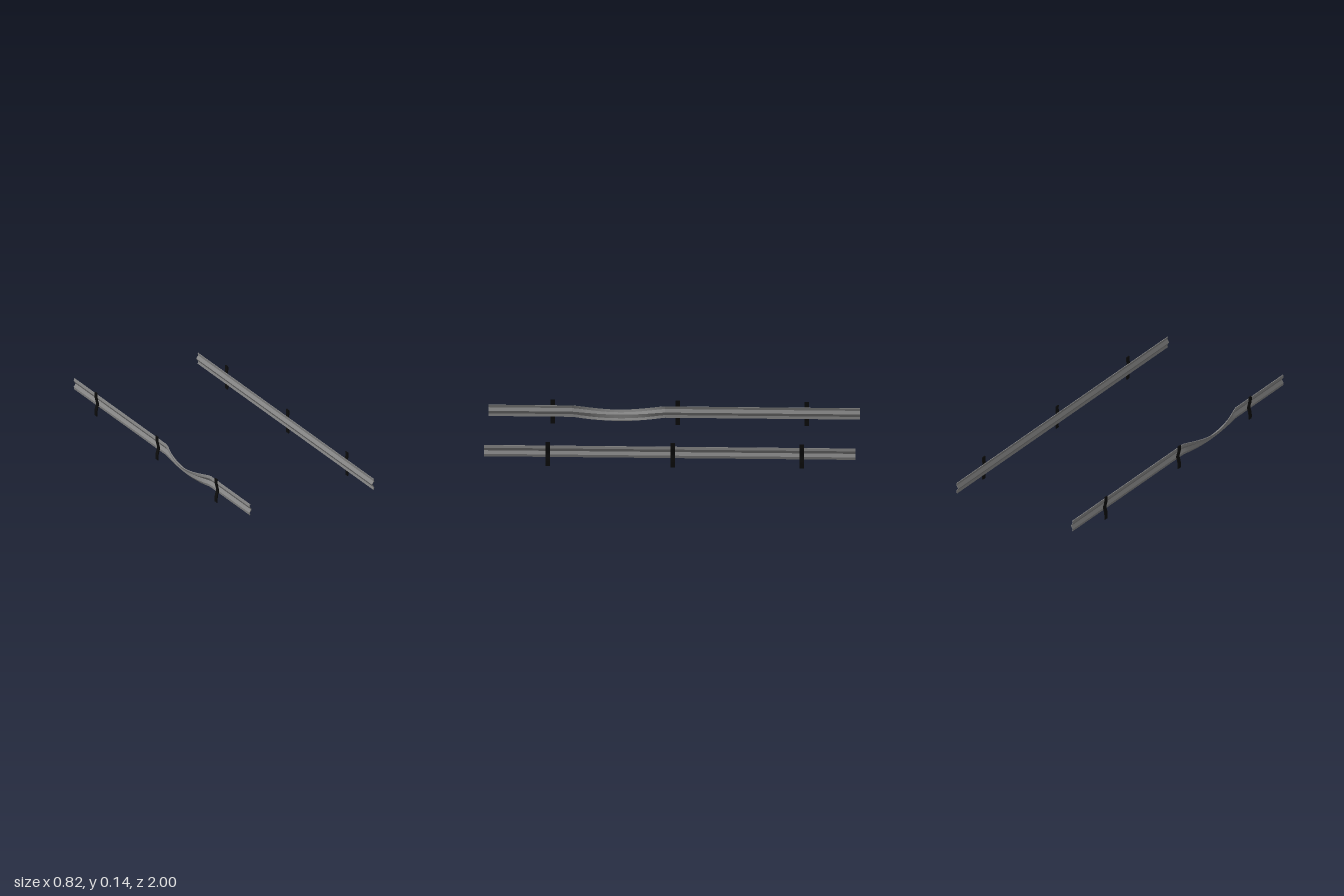
import * as THREE from 'three';

const steel = new THREE.MeshStandardMaterial({ color: 0x848484, flatShading: true });
const black = new THREE.MeshStandardMaterial({ color: 0x0c0c0c });

const v = (x, y) => new THREE.Vector2(x, y);

// Closed strip of a given thickness that follows a line of points (x outward, y up)
function stripShape(line, thickness) {
  const shift = (d) => line.map((p) => v(p.x + d, p.y));
  return new THREE.Shape([...shift(thickness / 2), ...shift(-thickness / 2).reverse()]);
}

// Beam section: one ridge facing the road between two outer folds
const beamY = 0.077, beamX = 0.374;
const beamLine = [
  v(0.377, 0.0455), v(0.3795, 0.06), v(0.3685, 0.077), v(0.3795, 0.094), v(0.377, 0.1085),
];

function railGeometry(dented) {
  const geo = new THREE.ExtrudeGeometry(stripShape(beamLine, 0.004), {
    depth: 2, steps: dented ? 80 : 1, bevelEnabled: false,
  });
  geo.translate(0, 0, -1);
  if (!dented) return geo;
  // Dent: the section is pushed outward, sinks and rolls back along a sine arch
  const pos = geo.attributes.position;
  const z0 = 0.055, z1 = 0.545;
  for (let i = 0; i < pos.count; i++) {
    const t = (pos.getZ(i) - z0) / (z1 - z0);
    if (t <= 0 || t >= 1) continue;
    const k = Math.sin(Math.PI * t);
    const p = v(pos.getX(i), pos.getY(i)).rotateAround(v(beamX, beamY), -0.61 * k);
    pos.setXY(i, p.x + 0.021 * k, p.y - 0.025 * k);
  }
  geo.computeVertexNormals();
  return geo;
}

// Post: narrow strip that bows toward the rail at mid height
const postLine = new THREE.SplineCurve([
  v(0.3985, 0), v(0.399, 0.018), v(0.3975, 0.038), v(0.392, 0.058), v(0.3905, 0.068),
  v(0.392, 0.079), v(0.3975, 0.1), v(0.399, 0.116), v(0.3985, 0.135),
]).getPoints(32);
const postWidth = 0.024;
const postGeo = new THREE.ExtrudeGeometry(stripShape(postLine, 0.006), {
  depth: postWidth, bevelEnabled: false,
});
postGeo.translate(0, 0, -postWidth / 2);

function barrier(name, dented) {
  const side = new THREE.Group();
  side.name = name;
  const rail = new THREE.Mesh(railGeometry(dented), steel);
  rail.name = dented ? 'dentedRail' : 'straightRail';
  side.add(rail);
  for (const z of [-0.713, -0.018, 0.655]) {
    const post = new THREE.Mesh(postGeo, black);
    post.name = 'post';
    post.position.z = z;
    side.add(post);
  }
  return side;
}

export function createModel() {
  const model = new THREE.Group();
  model.name = 'roadGuardrails';
  const left = barrier('leftGuardrail', false);
  const right = barrier('rightGuardrail', true);
  right.scale.x = -1;
  // The two sides mirror about a line slightly off centre, since the dent sticks out
  left.position.x = right.position.x = 0.0075;
  model.add(left, right);
  return model;
}
